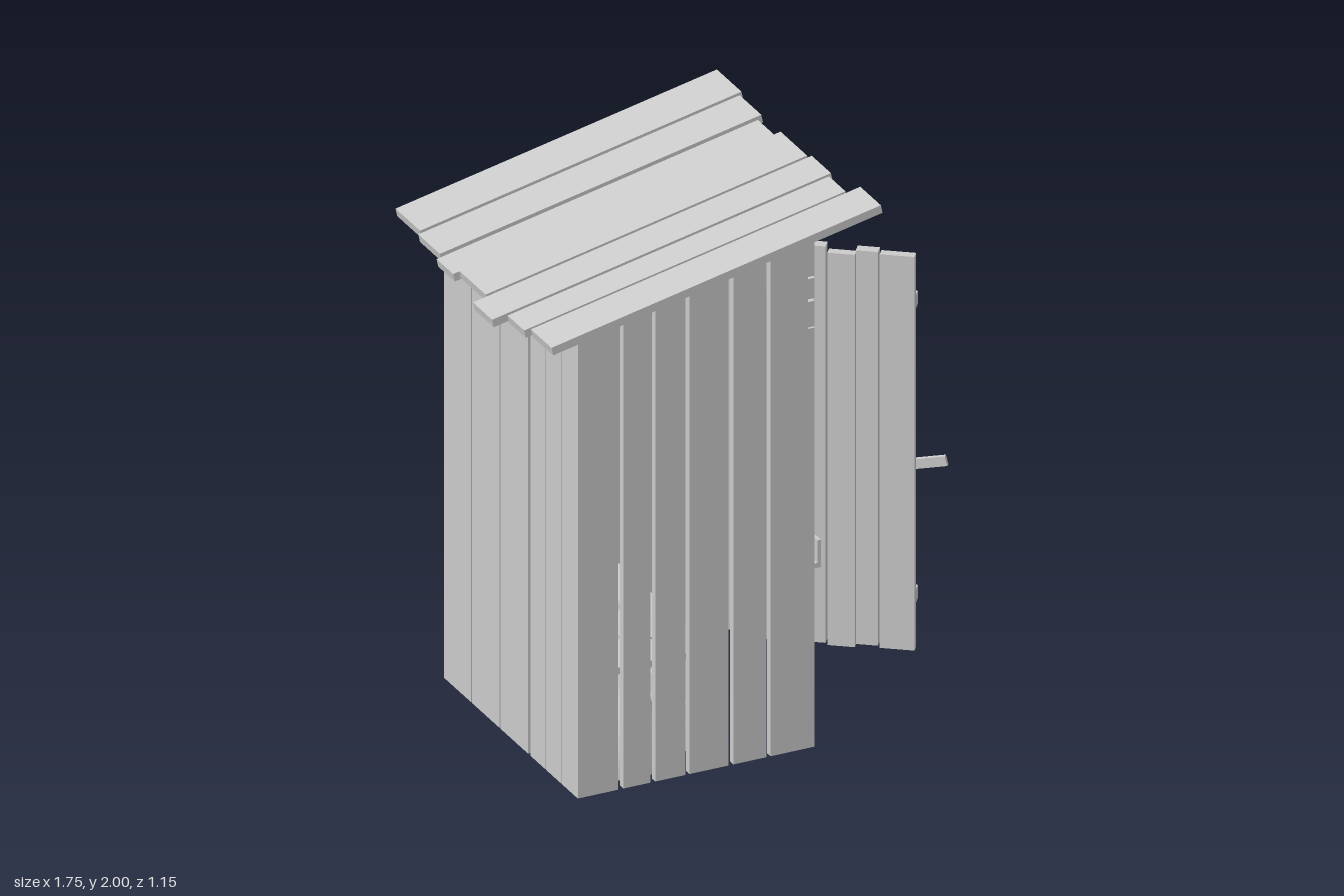
import * as THREE from 'three';

const mat = new THREE.MeshStandardMaterial({ color: 0xcccccc, flatShading: true });
const thin = new THREE.MeshStandardMaterial({ color: 0xcccccc, side: THREE.DoubleSide });

const SLOPE = 0.214;
const roofTop = (x) => 1.993 + SLOPE * (x - 0.42);
const wallTop = (x) => roofTop(x) - 0.034;

function add(parent, name, geometry, material = mat) {
  const mesh = new THREE.Mesh(geometry, material);
  mesh.name = name;
  parent.add(mesh);
  return mesh;
}

// Box given by its lower and upper limits
function block(parent, name, x0, x1, y0, y1, z0, z1) {
  const g = new THREE.BoxGeometry(x1 - x0, y1 - y0, z1 - z0);
  g.translate((x0 + x1) / 2, (y0 + y1) / 2, (z0 + z1) / 2);
  return add(parent, name, g);
}

// Upright plank whose top edge follows the roof pitch
function wallPlank(parent, name, x0, x1, z0, z1) {
  const m = block(parent, name, x0, x1, 0.01, 1, z0, z1);
  const p = m.geometry.attributes.position;
  for (let i = 0; i < p.count; i++) if (p.getY(i) > 0.9) p.setY(i, wallTop(p.getX(i)));
  m.geometry.computeVertexNormals();
  return m;
}

// Flat bar between two points, in the door's own frame
function bar(parent, name, a, b, height, depth) {
  const from = new THREE.Vector3(...a), dir = new THREE.Vector3(...b).sub(from);
  const m = add(parent, name, new THREE.BoxGeometry(dir.length(), height, depth));
  m.position.copy(from).addScaledVector(dir, 0.5);
  m.quaternion.setFromUnitVectors(new THREE.Vector3(1, 0, 0), dir.normalize());
  return m;
}

function buildWalls(root) {
  const walls = new THREE.Group();
  walls.name = 'walls';
  root.add(walls);
  // Two long side walls
  const sides = [[-0.655, -0.53], [-0.51, -0.41], [-0.392, -0.28], [-0.265, -0.12], [-0.102, 0.022], [0.036, 0.175]];
  for (const [a, b] of sides) {
    wallPlank(walls, 'frontWallPlank', a, b, 0.505, 0.53);
    wallPlank(walls, 'rearWallPlank', a, b, -0.48, -0.455);
  }
  // Low end wall
  const end = [[-0.48, -0.275], [-0.267, -0.06], [-0.052, 0.155], [0.172, 0.285], [0.29, 0.403], [0.408, 0.53]];
  for (const [a, b] of end) wallPlank(walls, 'endWallPlank', -0.68, -0.655, a, b);
  // Door frame posts and the boards above the doorway
  block(walls, 'doorPost', 0.175, 0.2, 0.01, 1.57, 0.415, 0.53);
  block(walls, 'doorPost', 0.175, 0.2, 0.01, 1.57, -0.48, -0.34);
  block(walls, 'headerBoard', 0.175, 0.2, 1.575, 1.67, -0.48, 0.53);
  block(walls, 'headerBoard', 0.175, 0.2, 1.68, 1.755, -0.475, 0.53);
  block(walls, 'headerBoard', 0.175, 0.2, 1.763, 1.915, -0.475, 0.53);
  // Latch keeper on the post
  block(walls, 'latchKeeperBase', 0.2, 0.212, 0.6, 0.73, 0.45, 0.488);
  block(walls, 'latchKeeperFoot', 0.2, 0.244, 0.65, 0.668, 0.45, 0.488);
  block(walls, 'latchKeeperLip', 0.232, 0.244, 0.65, 0.752, 0.45, 0.488);
}

function buildRoof(root) {
  const roof = new THREE.Group();
  roof.name = 'roof';
  root.add(roof);
  // z start, z end, x start, x end, lift
  const planks = [
    [-0.58, -0.395, -0.81, 0.39, 0.01], [-0.388, -0.225, -0.82, 0.38, 0.004],
    [-0.21, -0.085, -0.84, 0.36, 0], [-0.08, 0.12, -0.82, 0.38, 0.006],
    [0.125, 0.27, -0.87, 0.395, 0.001], [0.285, 0.41, -0.82, 0.38, 0.002],
    [0.42, 0.575, -0.8, 0.43, 0.002],
  ];
  for (const [z0, z1, x0, x1, lift] of planks) {
    const angle = Math.atan(SLOPE), xm = (x0 + x1) / 2;
    const m = add(roof, 'roofPlank', new THREE.BoxGeometry((x1 - x0) / Math.cos(angle) - 0.006, 0.03, z1 - z0));
    m.position.set(xm, roofTop(xm) - 0.0155 + lift, (z0 + z1) / 2);
    m.rotation.z = angle;
  }
}

function buildDoor(root) {
  // Hinged at the origin of the group, standing ajar; the outside is local -z
  const door = new THREE.Group();
  door.name = 'door';
  door.position.set(0.2, 0, -0.34);
  door.rotation.y = -0.637;
  root.add(door);
  const planks = [
    [0, 0.093, 0.075, 1.515], [0.096, 0.21, 0.085, 1.535], [0.213, 0.31, 0.06, 1.525], [0.313, 0.435, 0.065, 1.54],
    [0.44, 0.533, 0.055, 1.515], [0.537, 0.612, 0.07, 1.535], [0.617, 0.735, 0.06, 1.525],
  ];
  planks.forEach(([a, b, y0, y1], i) => {
    const d = (i % 2) * 0.005;
    block(door, 'doorPlank', a, b, y0, y1, 0, 0.032 + d);
  });
  // Cross braces with their hinges
  for (const y of [0.25, 1.345]) {
    block(door, 'crossBrace', 0, 0.735, y - 0.025, y + 0.025, -0.03, 0);
    block(door, 'hingePlate', -0.006, 0.025, y - 0.055, y + 0.055, -0.037, -0.005);
  }
  bar(door, 'diagonalBrace', [0.71, 0.272, -0.014], [0.06, 1.32, -0.014], 0.045, 0.026);
  bar(door, 'latchBar', [0.55, 0.695, -0.025], [0.84, 0.768, 0.012], 0.036, 0.014);
}

function buildBench(root) {
  const bench = new THREE.Group();
  bench.name = 'bench';
  root.add(bench);
  for (const [a, b] of [[0.01, 0.1], [0.11, 0.185], [0.2, 0.28], [0.288, 0.355], [0.363, 0.425]]) {
    block(bench, 'benchFrontBoard', -0.2, -0.18, a, b, -0.455, 0.505);
  }
  // Seat board with its hole (shape y becomes -z)
  const s = new THREE.Shape();
  s.moveTo(-0.655, -0.505).lineTo(-0.17, -0.505).lineTo(-0.17, 0.455).lineTo(-0.655, 0.455).closePath();
  s.holes.push(new THREE.Path().absellipse(-0.42, -0.02, 0.13, 0.15, 0, Math.PI * 2, true));
  const seat = new THREE.ExtrudeGeometry(s, { depth: 0.025, bevelEnabled: false, curveSegments: 10 });
  seat.rotateX(-Math.PI / 2).translate(0, 0.425, 0);
  add(bench, 'seatBoard', seat);

  // Mound in the pit
  const dome = new THREE.SphereGeometry(1, 16, 6, 0, Math.PI * 2, 0, Math.PI / 2);
  dome.scale(0.22, 0.32, 0.465).translate(-0.42, 0, 0.015);
  add(bench, 'pitMound', dome, thin);

  // Open booklet with curling pages
  const book = new THREE.PlaneGeometry(0.16, 0.22, 1, 16).rotateX(-Math.PI / 2);
  const p = book.attributes.position;
  for (let i = 0; i < p.count; i++) {
    const t = Math.abs(p.getZ(i)) / 0.11;
    p.setY(i, 0.014 + 0.025 * Math.sin(t * 2.2));
  }
  book.computeVertexNormals();
  add(bench, 'bookletPages', book, thin).position.set(-0.345, 0.45, 0.3);
  block(bench, 'bookletCover', -0.42, -0.27, 0.45, 0.464, 0.24, 0.36);

  // Candle
  const candle = add(bench, 'candle', new THREE.CylinderGeometry(0.03, 0.032, 0.07, 10));
  candle.position.set(-0.24, 0.485, -0.34);
  const wick = add(bench, 'candleWick', new THREE.ConeGeometry(0.007, 0.035, 5));
  wick.position.set(-0.24, 0.535, -0.34);
}

export function createModel() {
  const root = new THREE.Group();
  root.name = 'outhouse';
  buildWalls(root);
  buildRoof(root);
  buildDoor(root);
  buildBench(root);
  return root;
}
